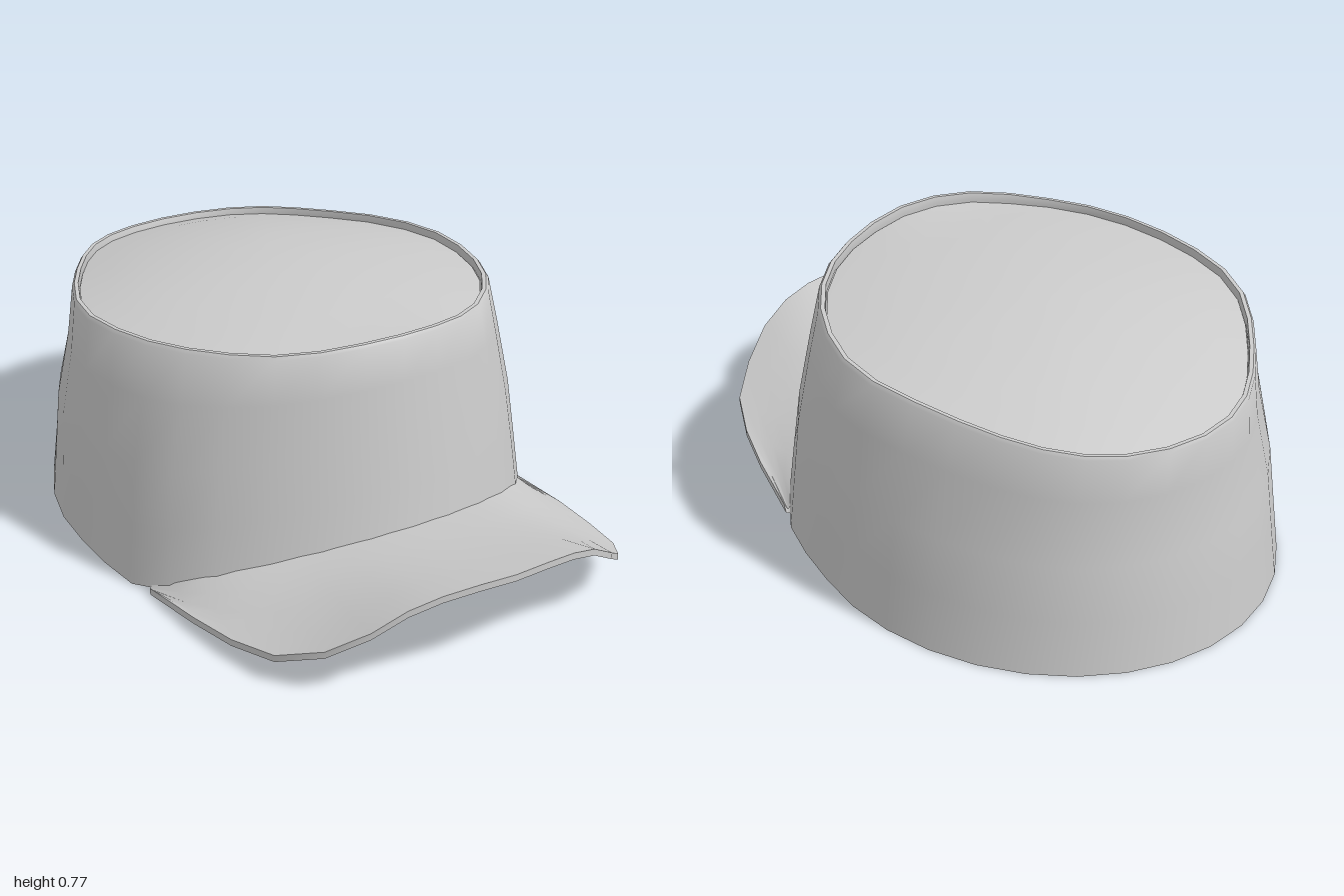
import * as THREE from 'three';
import { toCreasedNormals } from 'three/addons/utils/BufferGeometryUtils.js';

const SEGMENTS = 32;
const JOINT_ANGLE = 1.075; // where the brim ends on each side
const WALL = 0.01;

// Piecewise-linear lookup through [position, value] pairs
function sample(pairs, t) {
  for (let i = 1; i < pairs.length; i++) {
    const [a, va] = pairs[i - 1], [b, vb] = pairs[i];
    if (t <= b) return va + (vb - va) * (t - a) / (b - a);
  }
  return pairs[pairs.length - 1][1];
}

// Point on the crown: angle 0 is the front, f runs from 0 (hem) to 1 (rim).
// The hem is squarer towards the front, the rim more pinched towards the back.
function crownXZ(angle, f, inset = 0, scale = 1) {
  const rx = sample([[0, 0.664], [0.5, 0.652], [1, 0.6]], f) - inset;
  const front = 0.545 - 0.09 * f - inset;
  const back = sample([[0, -1], [0.5, -0.97], [0.78, -0.94], [1, -0.95]], f) + inset;
  const c = Math.cos(angle), s = Math.sin(angle);
  const bulge = 0.7 * c * c * (1 - Math.abs(c)) * (c > 0 ? 1 - f : -f);
  return [
    scale * rx * s * (1 + bulge),
    (front + back) / 2 + scale * (front - back) / 2 * c,
  ];
}

const rimHeight = (z) => sample([
  [-0.95, 0.63], [-0.85, 0.645], [-0.5, 0.683], [0, 0.713], [0.37, 0.742], [0.455, 0.768],
], z);
const hemHeight = (angle) => Math.max(0, (crownXZ(angle, 0)[1] - 0.14) * 0.47);

function crownPoint(angle, t, inset) {
  const top = rimHeight(crownXZ(angle, 1)[1]);
  const hem = hemHeight(angle);
  const y = hem + (top - hem) * t;
  const [x, z] = crownXZ(angle, y / top, inset);
  return new THREE.Vector3(x, y, z);
}

// Skin a row of cross-sections
function loft(sections, crease) {
  const size = sections[0].length;
  const index = [];
  for (let i = 0; i < sections.length - 1; i++) {
    for (let j = 0; j < size - 1; j++) {
      const a = i * size + j, b = a + size;
      index.push(a, b, b + 1, a, b + 1, a + 1);
    }
  }
  const geometry = new THREE.BufferGeometry().setFromPoints(sections.flat());
  geometry.setIndex(index);
  return toCreasedNormals(geometry, crease);
}

const around = (fn) =>
  Array.from({ length: SEGMENTS + 1 }, (_, i) => fn(((i % SEGMENTS) / SEGMENTS) * Math.PI * 2));

export function createModel() {
  const group = new THREE.Group();
  const material = new THREE.MeshStandardMaterial({ color: 0xcccccc, side: THREE.DoubleSide });
  const add = (name, geometry) => {
    const mesh = new THREE.Mesh(geometry, material);
    mesh.name = name;
    group.add(mesh);
  };

  // Crown wall: up the outside, over the rounded rim, down the inside
  const levels = [0, 0.25, 0.5, 0.78, 0.985];
  add('crownWall', loft(around((a) => [
    ...levels.map((t) => crownPoint(a, t, 0)),
    crownPoint(a, 1, 0.006),
    crownPoint(a, 1, 0.018),
    crownPoint(a, 0.965, 0.024),
    ...[0.78, 0.5, 0.25, 0].map((t) => crownPoint(a, t, WALL)),
    crownPoint(a, 0, 0),
  ]), 0.7));

  // Top panel: shallow dome set just below the rim
  add('topPanel', loft(around((a) => [1, 0.85, 0.65, 0.4, 0.2, 0].map((r) => {
    const [x, z] = crownXZ(a, 1, 0.022, r);
    return new THREE.Vector3(x, rimHeight(z) - 0.022 + 0.07 * (1 - r * r), z);
  })), 0.7));

  // Brim: half of its outer edge from the centre to the side, mirrored
  const edge = [
    [0, 0.305, 1], [0.11, 0.303, 0.99], [0.21, 0.29, 0.97], [0.3, 0.262, 0.945],
    [0.39, 0.205, 0.91], [0.48, 0.135, 0.83], [0.56, 0.085, 0.71],
    [0.6, 0.06, 0.55], [0.622, 0.045, 0.38], [0.636, 0.022, 0.15],
  ];
  const last = edge.length - 1;
  const brim = [];
  for (let i = -last; i <= last; i++) {
    const [x, y, z] = edge[Math.abs(i)];
    const outer = new THREE.Vector3(Math.sign(i) * x, y, z);
    const inner = crownPoint((i / last) * JOINT_ANGLE, 0, 0.006);
    inner.y += 0.022;
    const top = [0, 0.25, 0.5, 0.75, 1].map((t) => {
      const p = inner.clone().lerp(outer, t);
      p.y -= 0.03 * t * (1 - t);
      return p;
    });
    const bottom = top.map((p) => new THREE.Vector3(p.x, Math.max(0, p.y - 0.02), p.z));
    brim.push([...bottom, ...top.reverse()]);
  }
  add('brim', loft(brim, 0.7));

  return group;
}
